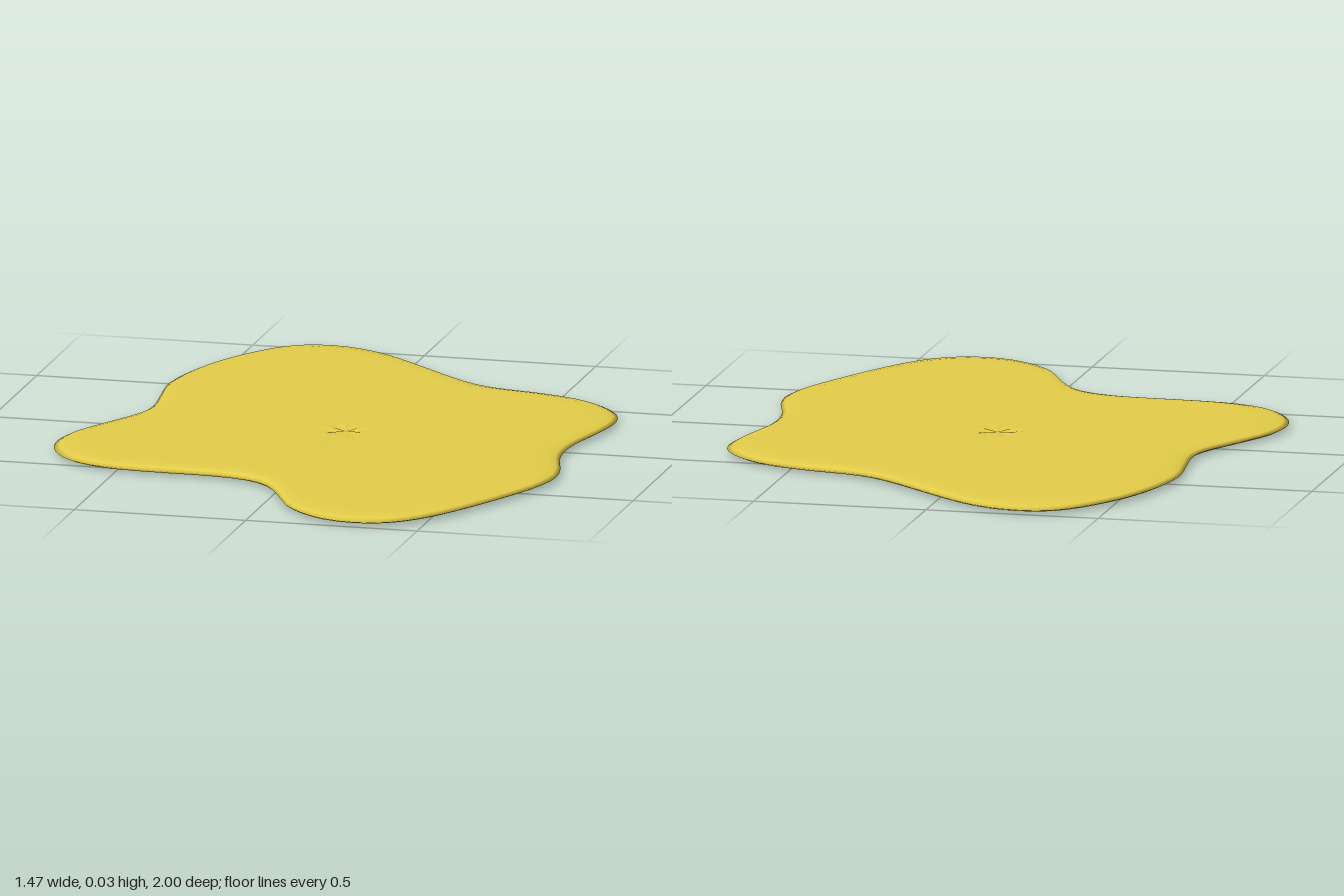
import * as THREE from 'three';

// Outline of the puddle seen from above, as [x, z], counter-clockwise
const OUTLINE = [
  [-0.27, -1.0], [-0.35, -0.985], [-0.41, -0.94], [-0.47, -0.86], [-0.53, -0.75], [-0.57, -0.64],
  [-0.595, -0.53], [-0.603, -0.44], [-0.59, -0.31], [-0.578, -0.2], [-0.583, -0.13], [-0.61, -0.05],
  [-0.65, 0.03], [-0.69, 0.11], [-0.725, 0.19], [-0.738, 0.27], [-0.73, 0.35], [-0.7, 0.42],
  [-0.655, 0.48], [-0.59, 0.52], [-0.5, 0.543], [-0.4, 0.55], [-0.2, 0.557], [-0.11, 0.58],
  [-0.05, 0.62], [0, 0.69], [0.04, 0.77], [0.08, 0.85], [0.14, 0.92], [0.22, 0.975], [0.31, 0.995],
  [0.39, 0.98], [0.45, 0.94], [0.51, 0.87], [0.57, 0.77], [0.63, 0.65], [0.68, 0.54], [0.715, 0.45],
  [0.733, 0.35], [0.725, 0.26], [0.69, 0.13], [0.68, 0.04], [0.69, -0.07], [0.715, -0.18],
  [0.733, -0.29], [0.73, -0.37], [0.7, -0.44], [0.65, -0.5], [0.59, -0.545], [0.52, -0.575],
  [0.43, -0.6], [0.34, -0.617], [0.27, -0.64], [0.2, -0.685], [0.1, -0.77], [0, -0.86],
  [-0.1, -0.94], [-0.19, -0.985],
];

// Cross-section from the top centre over the rim to the bottom centre: [scale, height]
const MID = 0.0125;
const HALF = [[0.04, 0.01], [0.1, 0.0112], [0.5, 0.0118], [0.88, 0.0125], [0.945, 0.0112], [0.98, 0.007]];
const PROFILE = [
  ...HALF.map(([s, h]) => [s, MID + h]),
  [1, MID],
  ...HALF.map(([s, h]) => [s, MID - h]).reverse(),
];

const SEGMENTS = 116;
const CENTRE = new THREE.Vector3(0.03, 0, -0.01);

function puddleGeometry() {
  const curve = new THREE.CatmullRomCurve3(
    OUTLINE.map(([x, z]) => new THREE.Vector3(x, 0, z)), true, 'centripetal');
  const rim = curve.getSpacedPoints(SEGMENTS).slice(0, SEGMENTS);
  const positions = [];
  const index = [];

  // Scaled copies of the outline, with a faint pucker next to the centre
  PROFILE.forEach(([s, y]) => rim.forEach((p, i) => {
    const pucker = s < 0.05 ? 0.004 * Math.sin((i / SEGMENTS) * Math.PI * 6) : 0;
    const q = CENTRE.clone().lerp(p, s);
    positions.push(q.x, y + (y > MID ? -Math.abs(pucker) : Math.abs(pucker)), q.z);
  }));
  const rings = PROFILE.length;
  for (let r = 0; r < rings - 1; r++) {
    for (let i = 0; i < SEGMENTS; i++) {
      const j = (i + 1) % SEGMENTS;
      const a = r * SEGMENTS + i, b = r * SEGMENTS + j;
      index.push(a, a + SEGMENTS, b, b, a + SEGMENTS, b + SEGMENTS);
    }
  }

  // Centre points close the top and the bottom
  const top = rings * SEGMENTS, bottom = top + 1, last = (rings - 1) * SEGMENTS;
  positions.push(CENTRE.x, MID + 0.007, CENTRE.z, CENTRE.x, MID - 0.007, CENTRE.z);
  for (let i = 0; i < SEGMENTS; i++) {
    const j = (i + 1) % SEGMENTS;
    index.push(top, i, j, bottom, last + j, last + i);
  }

  const geometry = new THREE.BufferGeometry();
  geometry.setAttribute('position', new THREE.Float32BufferAttribute(positions, 3));
  geometry.setIndex(index);
  geometry.computeVertexNormals();
  return geometry;
}

export function createModel() {
  const group = new THREE.Group();
  group.name = 'puddle';
  const puddle = new THREE.Mesh(puddleGeometry(), new THREE.MeshStandardMaterial({ color: 0xe6cf4a }));
  puddle.name = 'puddleBody';
  group.add(puddle);
  return group;
}
